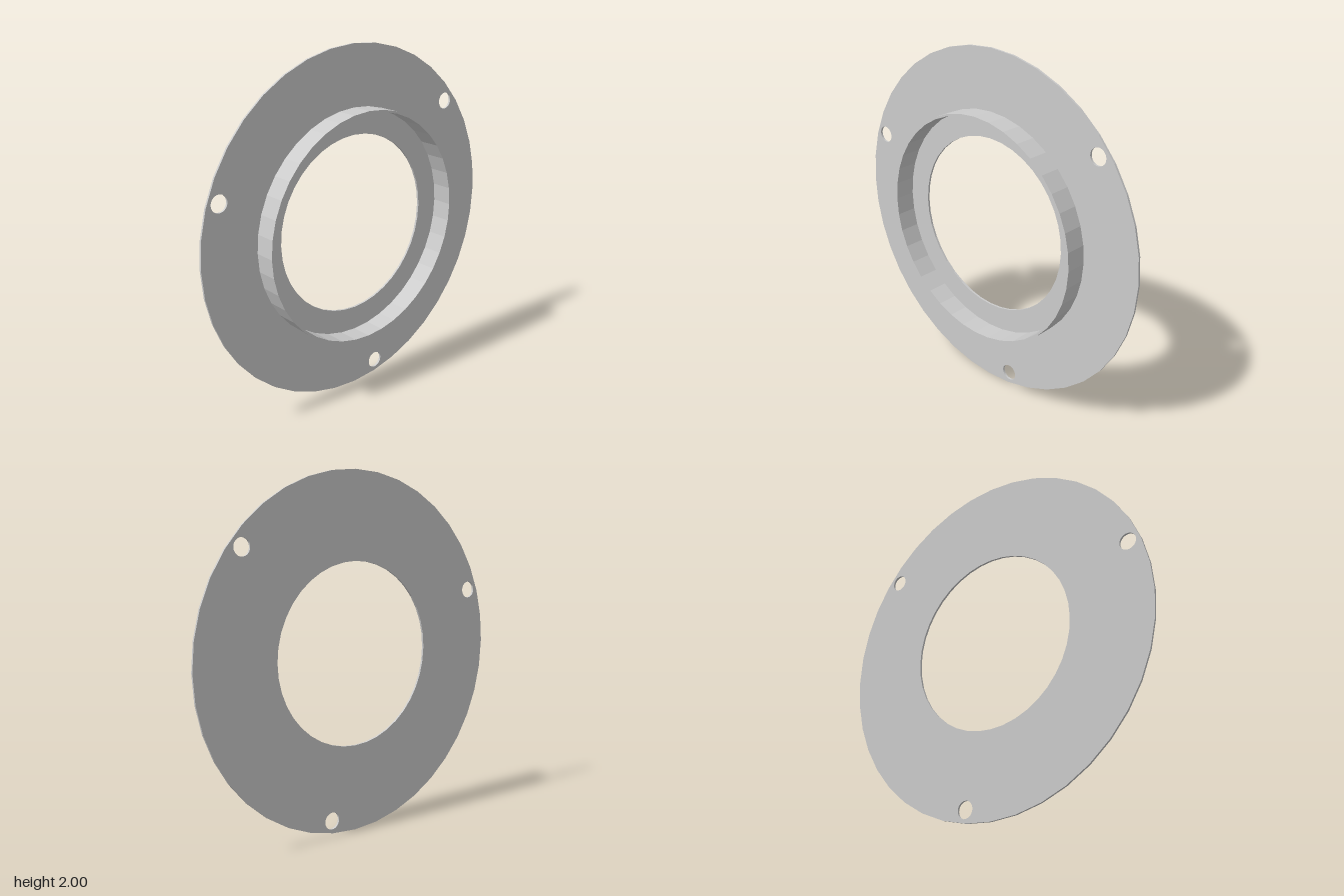
import * as THREE from 'three';

const SIDES = 40;
const BACK = -0.067, FACE = -0.055, FRONT = 0.067;

// Regular polygon outline with a corner on the +x axis
function circle(radius, sides, cx = 0, cy = 0) {
  return Array.from({ length: sides }, (_, i) => {
    const a = (i / sides) * Math.PI * 2;
    return new THREE.Vector2(cx + radius * Math.cos(a), cy + radius * Math.sin(a));
  });
}

// Flat disc with holes, extruded from z0 to z1
function disc(name, radius, holes, z0, z1, material) {
  const shape = new THREE.Shape(circle(radius, SIDES));
  shape.holes = holes.map((points) => new THREE.Path(points));
  const geometry = new THREE.ExtrudeGeometry(shape, { depth: z1 - z0, bevelEnabled: false });
  geometry.translate(0, 1, z0);
  const mesh = new THREE.Mesh(geometry, material);
  mesh.name = name;
  return mesh;
}

export function createModel() {
  const group = new THREE.Group();
  group.name = 'flangeRing';
  const material = new THREE.MeshStandardMaterial({ color: 0xcccccc, flatShading: true });

  // Thin flange: central opening and three evenly spaced screw holes
  const screwHoles = [40, 160, 280].map((deg) => {
    const a = THREE.MathUtils.degToRad(deg);
    return circle(0.048, SIDES, 0.93 * Math.cos(a), 0.93 * Math.sin(a));
  });
  group.add(disc('flangePlate', 1, [circle(0.512, SIDES), ...screwHoles], BACK, FACE, material));

  // Thin-walled collar standing on the front face
  group.add(disc('collar', 0.662, [circle(0.65, SIDES)], FACE, FRONT, material));

  return group;
}
